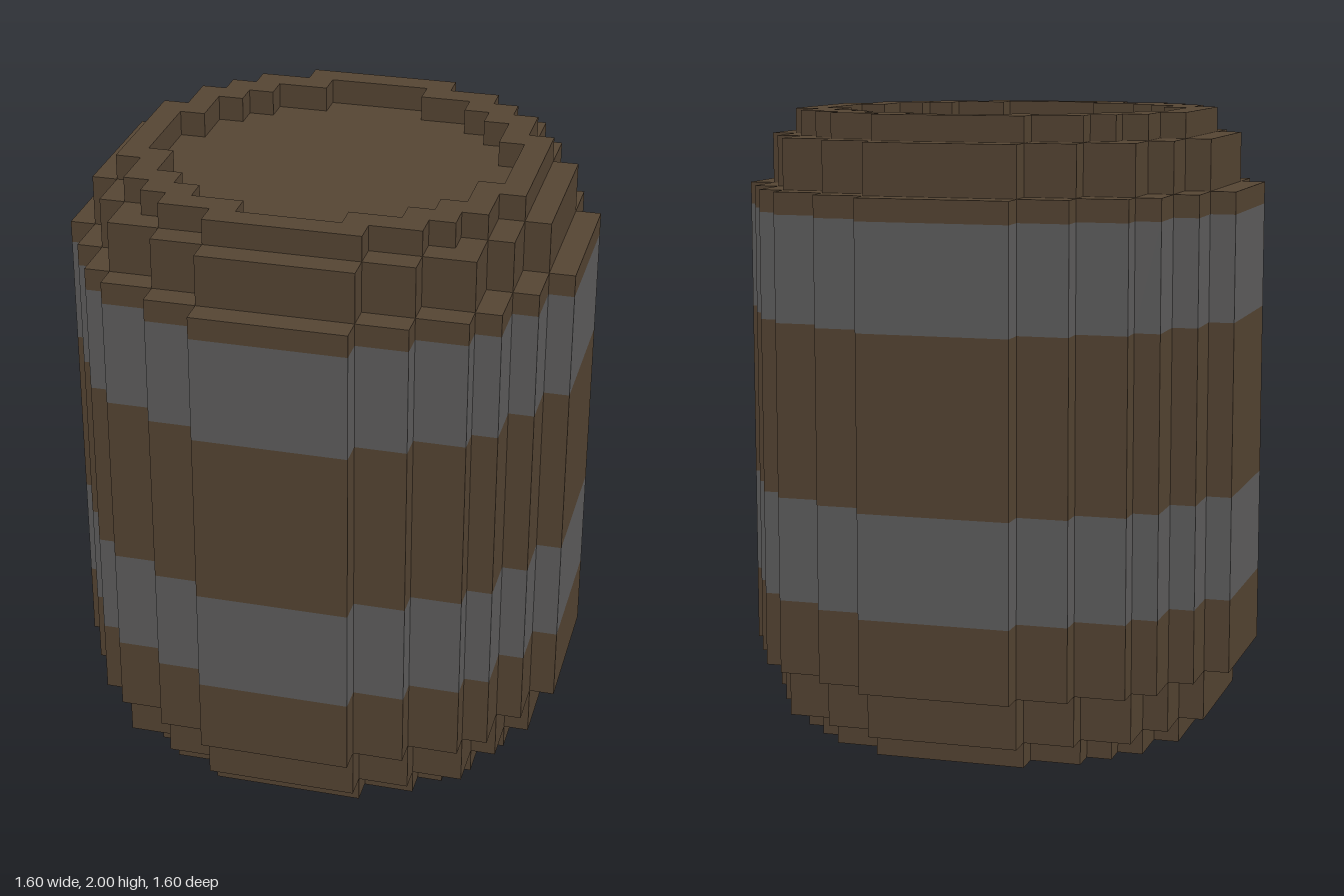
import * as THREE from 'three';

const U = 0.08; // size of one block

// Outward corners of one quadrant, in blocks; each outline repeats by quarter turns
const BODY = [[10, 3], [9, 5], [8, 7], [7, 8], [5, 9], [3, 10]];
const SHOULDER = [[9, 3], [8, 5], [7, 7], [5, 8], [3, 9]];
const RIM = [[8, 3], [7, 5], [6, 6], [5, 7], [3, 8]];
const RECESS = [[7, 2], [6, 4], [5, 5], [4, 6], [2, 7]];

// Full stepped outline, counter-clockwise
function outline(corners) {
  const quadrant = [];
  corners.forEach(([x, y], i) => {
    quadrant.push([x, y]);
    if (i < corners.length - 1) quadrant.push([corners[i + 1][0], y]);
  });
  const points = [];
  for (let q = 0; q < 4; q++) {
    for (const [x, y] of quadrant) {
      const [px, py] = [[x, y], [-y, x], [-x, -y], [y, -x]][q];
      points.push(new THREE.Vector2(px * U, py * U));
    }
  }
  return points;
}

// Upright wall that follows an outline between two heights
function wall(corners, y0, y1, inward = false) {
  const points = outline(corners);
  if (inward) points.reverse();
  const position = [];
  points.forEach((a, i) => {
    const b = points[(i + 1) % points.length];
    const a0 = [a.x, y0, -a.y], b0 = [b.x, y0, -b.y];
    const a1 = [a.x, y1, -a.y], b1 = [b.x, y1, -b.y];
    position.push(...a0, ...b0, ...b1, ...a0, ...b1, ...a1);
  });
  const geometry = new THREE.BufferGeometry();
  geometry.setAttribute('position', new THREE.Float32BufferAttribute(position, 3));
  geometry.computeVertexNormals();
  return geometry;
}

// Flat face facing up or down, with an optional hole
function face(corners, y, up, hole) {
  const shape = new THREE.Shape(outline(corners));
  if (hole) shape.holes.push(new THREE.Path(outline(hole)));
  return new THREE.ShapeGeometry(shape)
    .rotateX(up ? -Math.PI / 2 : Math.PI / 2)
    .translate(0, y, 0);
}

export function createModel() {
  const wood = new THREE.MeshStandardMaterial({ color: 0x574634 });
  wood.name = 'wood';
  const iron = new THREE.MeshStandardMaterial({ color: 0x616060 });
  iron.name = 'iron';

  const barrel = new THREE.Group();
  barrel.name = 'barrel';
  const add = (name, geometry, material = wood) => {
    const mesh = new THREE.Mesh(geometry, material);
    mesh.name = name;
    barrel.add(mesh);
  };

  // Body sides: wood staves alternating with two iron hoops
  const levels = [0.24, 0.475, 0.805, 1.355, 1.69, 1.76];
  for (let i = 0; i < levels.length - 1; i++) {
    const isHoop = i % 2 === 1;
    add(isHoop ? 'hoop' : 'staves', wall(BODY, levels[i], levels[i + 1]), isHoop ? iron : wood);
  }
  add('bodyTopLedge', face(BODY, 1.76, true));
  add('bodyBottomLedge', face(BODY, 0.24, false));

  // Stepped shoulders; the upper one also forms the recessed lid
  add('upperShoulder', wall(SHOULDER, 1.76, 1.92));
  add('lid', face(SHOULDER, 1.92, true));
  add('lowerShoulder', wall(SHOULDER, 0.08, 0.24));
  add('lowerShoulderLedge', face(SHOULDER, 0.08, false));

  // Raised rim around the lid
  add('rimOutside', wall(RIM, 1.92, 2));
  add('rimTop', face(RIM, 2, true, RECESS));
  add('rimInside', wall(RECESS, 1.92, 2, true));

  // Solid foot
  add('foot', wall(RIM, 0, 0.08));
  add('base', face(RIM, 0, false));

  return barrel;
}
